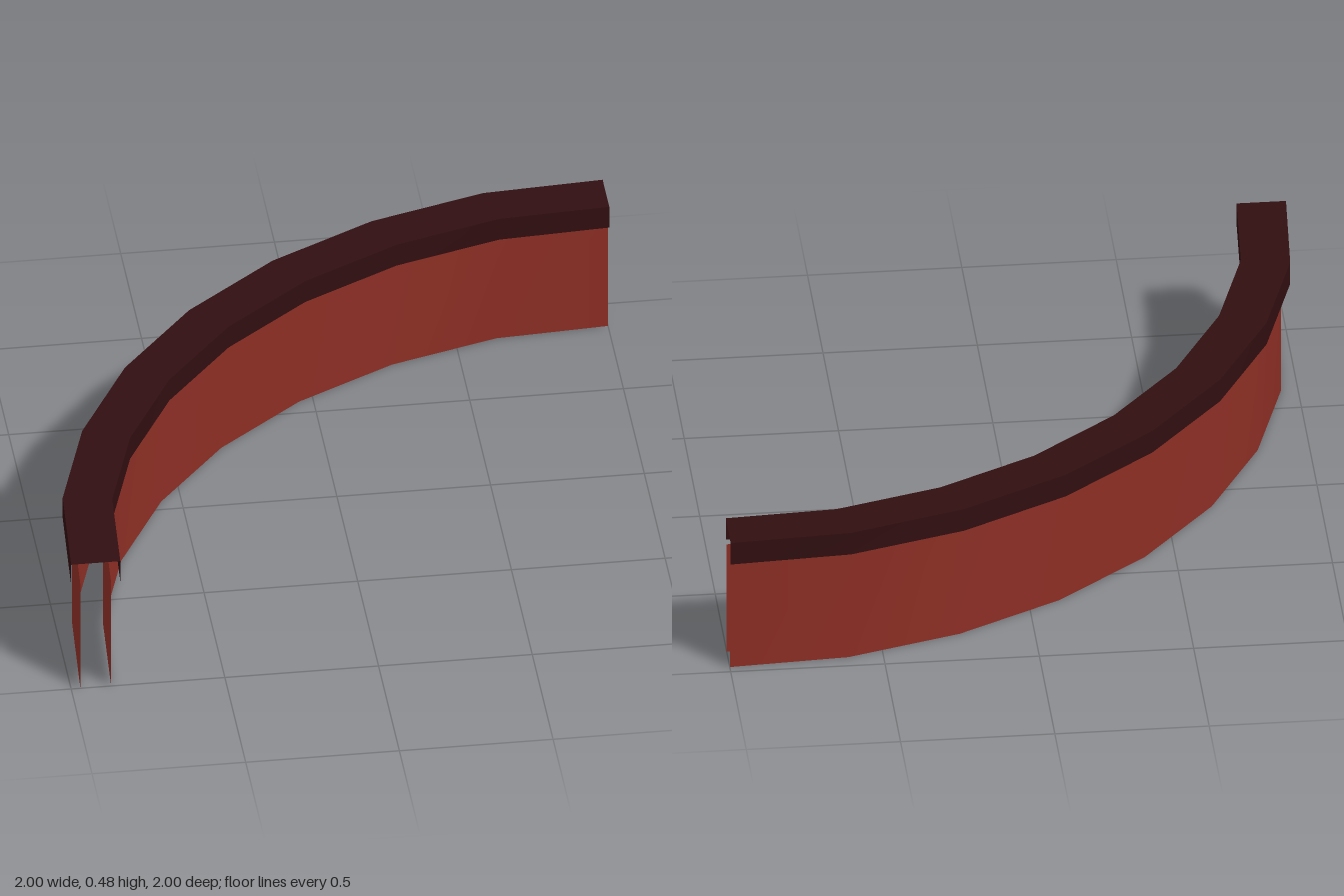
import * as THREE from 'three';

const SEGMENTS = 8;
const MITRE = 0.013; // joints between straight runs sit slightly further out than the two ends

// Point on the quarter arc, which is centred on the corner x = 1, z = 1
function arcPoint(i, r, y) {
  const a = (i / SEGMENTS) * Math.PI / 2;
  const radius = i === 0 || i === SEGMENTS ? r : r + MITRE;
  return [1 - radius * Math.cos(a), y, 1 - radius * Math.sin(a)];
}

// Open ribbon sweeping a straight profile edge (r0, y0) -> (r1, y1) along the arc
function ribbon(name, material, r0, y0, r1, y1) {
  const positions = [], indices = [];
  for (let i = 0; i <= SEGMENTS; i++) {
    positions.push(...arcPoint(i, r0, y0), ...arcPoint(i, r1, y1));
    if (i < SEGMENTS) {
      const a = i * 2;
      indices.push(a, a + 1, a + 2, a + 1, a + 3, a + 2);
    }
  }
  const geometry = new THREE.BufferGeometry();
  geometry.setAttribute('position', new THREE.Float32BufferAttribute(positions, 3));
  geometry.setIndex(indices);
  geometry.computeVertexNormals();
  const mesh = new THREE.Mesh(geometry, material);
  mesh.name = name;
  return mesh;
}

export function createModel() {
  const brick = new THREE.MeshStandardMaterial({ color: 0x8c2e24, side: THREE.DoubleSide });
  brick.name = 'brick red';
  const coping = new THREE.MeshStandardMaterial({ color: 0x300e10, side: THREE.DoubleSide });
  coping.name = 'dark maroon';

  // Two thin wall skins, open at the ends
  const wall = new THREE.Group();
  wall.name = 'wall';
  wall.add(
    ribbon('outerWall', brick, 1.97, 0, 1.97, 0.4),
    ribbon('innerWall', brick, 1.87, 0.4, 1.87, 0),
  );

  // Overhanging cap, open underneath and at the ends
  const cap = new THREE.Group();
  cap.name = 'cap';
  cap.add(
    ribbon('capOuterSide', coping, 2, 0.4, 2, 0.48),
    ribbon('capTop', coping, 2, 0.48, 1.84, 0.48),
    ribbon('capInnerSide', coping, 1.84, 0.48, 1.84, 0.4),
  );

  const model = new THREE.Group();
  model.name = 'curvedWall';
  model.add(wall, cap);
  return model;
}
